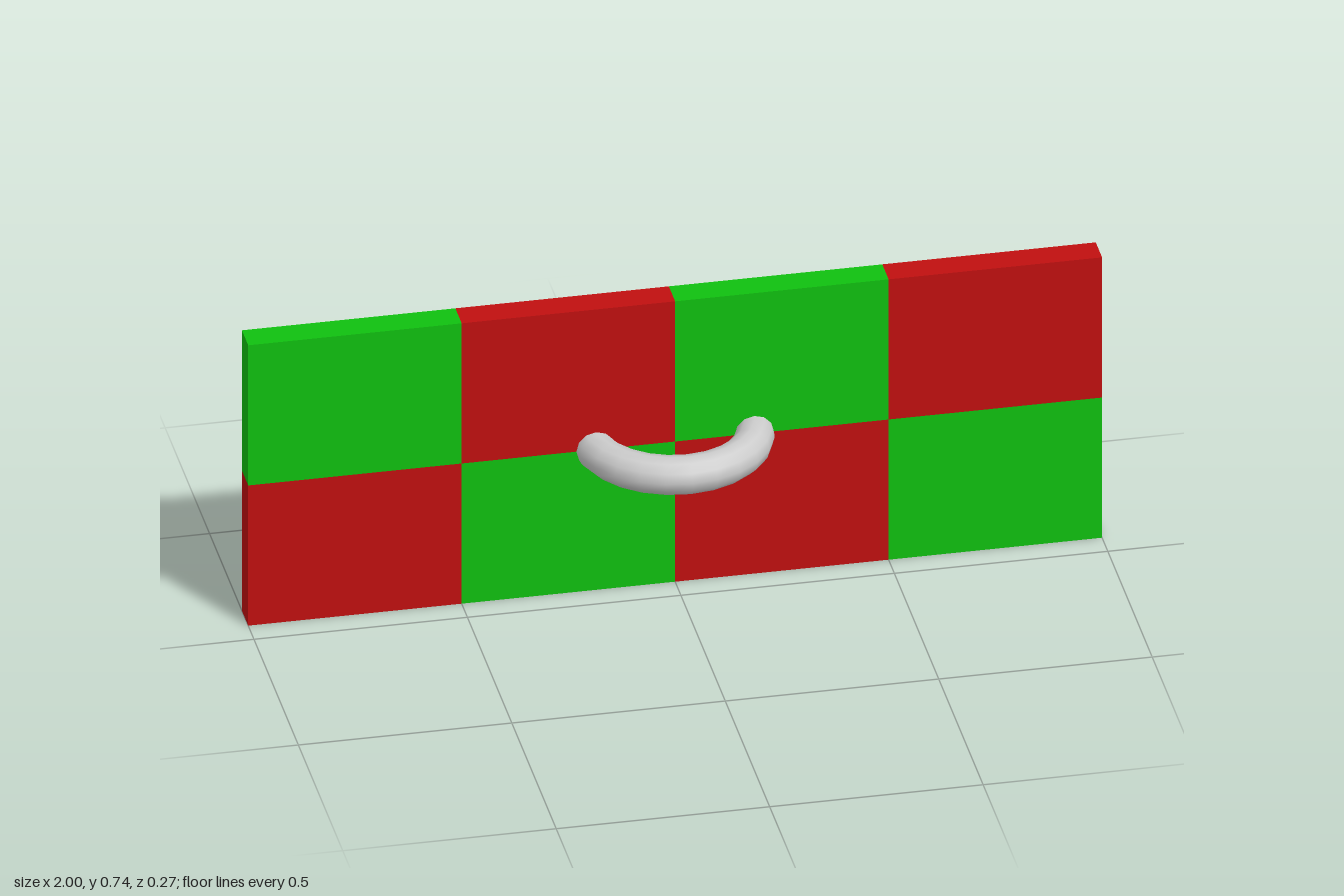
import * as THREE from 'three';

const WIDTH = 2, HEIGHT = 0.74, DEPTH = 0.071, PANEL_Z = -0.1;
const COLS = 4, ROWS = 2;

export function createModel() {
  const model = new THREE.Group();
  const green = new THREE.MeshStandardMaterial({ color: 0x10c010 });
  const red = new THREE.MeshStandardMaterial({ color: 0xc01010 });
  const grey = new THREE.MeshStandardMaterial({ color: 0xcccccc });

  // Chequered panel: a grid of alternating blocks
  const panel = new THREE.Group();
  panel.name = 'panel';
  const w = WIDTH / COLS, h = HEIGHT / ROWS;
  const block = new THREE.BoxGeometry(w, h, DEPTH);
  for (let row = 0; row < ROWS; row++) {
    for (let col = 0; col < COLS; col++) {
      const tile = new THREE.Mesh(block, (row + col) % 2 ? green : red);
      tile.name = 'panelBlock';
      tile.position.set((col + 0.5) * w - WIDTH / 2, (row + 0.5) * h, PANEL_Z);
      panel.add(tile);
    }
  }
  model.add(panel);

  // Half-ring handle, its ends sunk into the panel
  const ring = new THREE.TorusGeometry(0.19, 0.046, 12, 12, Math.PI);
  ring.rotateX(Math.PI / 2);
  const handle = new THREE.Mesh(ring, grey);
  handle.name = 'handle';
  handle.position.set(0, HEIGHT / 2, PANEL_Z);
  model.add(handle);

  return model;
}
